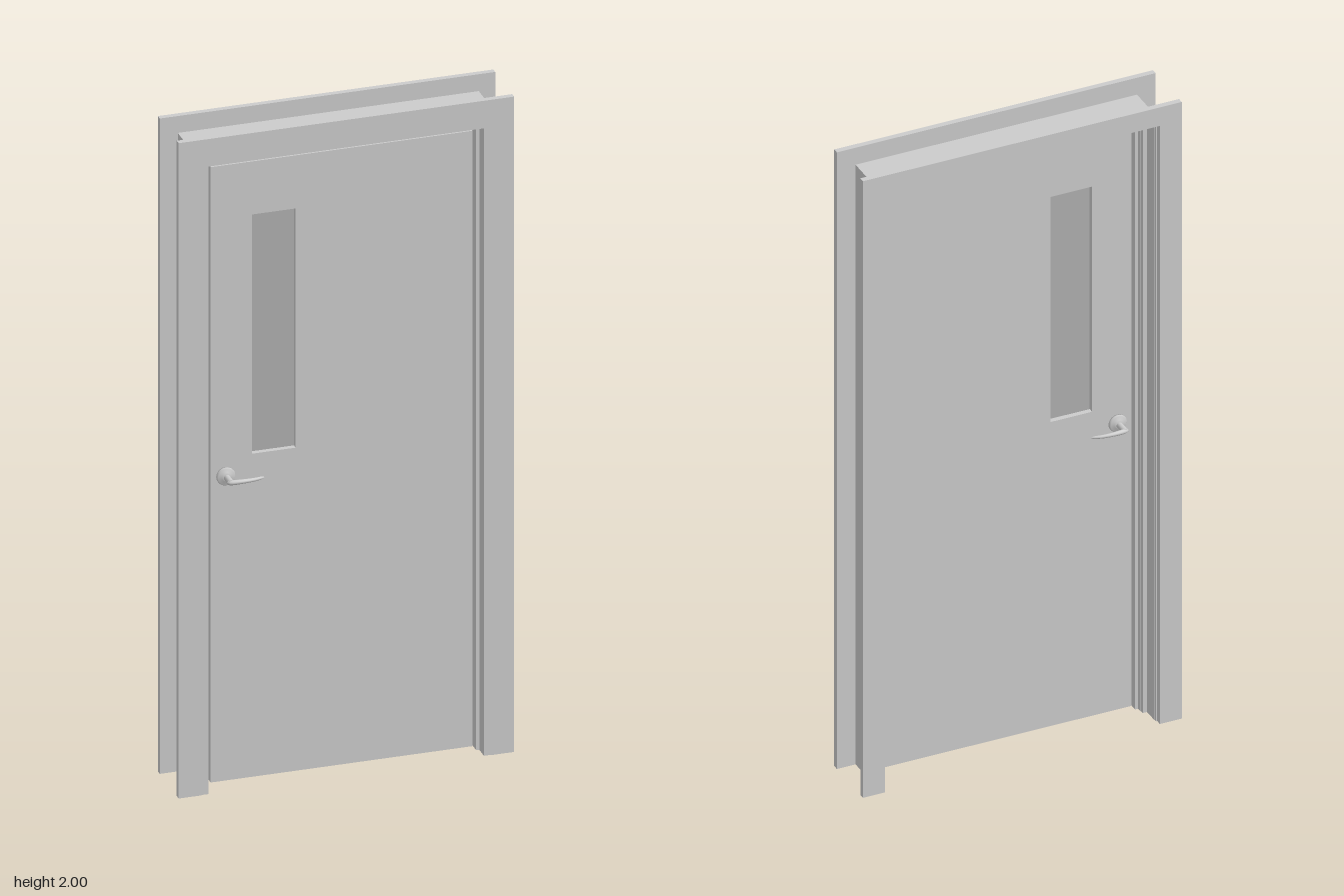
import * as THREE from 'three';

const grey = new THREE.MeshStandardMaterial({ color: 0xcccccc });
const glassGrey = new THREE.MeshStandardMaterial({ color: 0xb0b0b0 });

function add(parent, name, geometry, material = grey) {
  const mesh = new THREE.Mesh(geometry, material);
  mesh.name = name;
  parent.add(mesh);
  return mesh;
}

// Upside-down U around the doorway: two legs and a head, from z0 to z1
function surround(parent, name, outX, outY, inX, inY, z0, z1) {
  const shape = new THREE.Shape([
    [-outX, 0], [-inX, 0], [-inX, inY], [inX, inY],
    [inX, 0], [outX, 0], [outX, outY], [-outX, outY],
  ].map(([x, y]) => new THREE.Vector2(x, y)));
  const geometry = new THREE.ExtrudeGeometry(shape, { depth: z1 - z0, bevelEnabled: false });
  geometry.translate(0, 0, z0);
  return add(parent, name, geometry);
}

function rectPath(PathType, x0, y0, x1, y1) {
  return new PathType().moveTo(x0, y0).lineTo(x1, y0).lineTo(x1, y1).lineTo(x0, y1).closePath();
}

// Rose, neck and curved lever, projecting towards +z from the door face at z = 0
function makeHandle(name) {
  const handle = new THREE.Group();
  handle.name = name;
  const rose = new THREE.LatheGeometry([
    [0, 0], [0.027, 0], [0.027, 0.005], [0.024, 0.009], [0.013, 0.01], [0.012, 0.014], [0, 0.014],
  ].map(([r, y]) => new THREE.Vector2(r, y)), 28);
  rose.rotateX(Math.PI / 2);
  add(handle, 'rose', rose);

  const neck = new THREE.CylinderGeometry(0.009, 0.009, 0.044, 20);
  neck.rotateX(Math.PI / 2).translate(0, 0, 0.03);
  add(handle, 'neck', neck);

  // Lever: a tapering elliptical section swept along a shallow arc
  const curve = new THREE.CatmullRomCurve3([
    [-0.012, 0, 0.047], [0.005, 0.001, 0.051], [0.035, 0.002, 0.054],
    [0.07, 0.001, 0.05], [0.1, 0.0, 0.041],
  ].map((p) => new THREE.Vector3(...p)));
  const rings = 24, sides = 12;
  const lever = new THREE.TubeGeometry(curve, rings, 1, sides, false);
  const pos = lever.attributes.position;
  const v = new THREE.Vector3();
  for (let i = 0; i <= rings; i++) {
    const t = i / rings;
    const centre = curve.getPointAt(t);
    const round = Math.sqrt(Math.max(0, 1 - Math.pow(2 * t - 1, 8)));
    const size = (0.008 - 0.004 * t) * round;
    for (let j = 0; j <= sides; j++) {
      const k = i * (sides + 1) + j;
      v.fromBufferAttribute(pos, k).sub(centre).multiplyScalar(size).add(centre);
      pos.setXYZ(k, v.x, v.y, v.z);
    }
  }
  lever.computeVertexNormals();
  add(handle, 'lever', lever);
  return handle;
}

export function createModel() {
  const model = new THREE.Group();
  model.name = 'doorAssembly';

  // Stepped frame, listed from front to back
  const frame = new THREE.Group();
  frame.name = 'frame';
  model.add(frame);
  [
    ['frontCasing', 0.487, 2.0, 0.42, 1.94, 0.066, 0.083],
    ['frontReturn', 0.43, 1.945, 0.4, 1.915, 0.04, 0.081],
    ['jamb', 0.43, 1.945, 0.391, 1.906, -0.004, 0.04],
    ['rearStop', 0.43, 1.945, 0.4, 1.915, -0.02, -0.004],
    ['frontJoint', 0.42, 1.938, 0.402, 1.917, -0.03, -0.02],
    ['rearJamb', 0.437, 1.952, 0.415, 1.935, -0.078, -0.03],
    ['rearJoint', 0.425, 1.945, 0.416, 1.936, -0.085, -0.078],
    ['rearCasing', 0.487, 2.0, 0.42, 1.94, -0.102, -0.085],
  ].forEach((ring) => surround(frame, ...ring));

  // Door leaf with a tall narrow window
  const door = new THREE.Group();
  door.name = 'door';
  model.add(door);
  const back = -0.003, thick = 0.043;
  const win = [-0.26, 1.0, -0.133, 1.73];
  const leaf = rectPath(THREE.Shape, -0.38, 0.014, 0.38, 1.892);
  leaf.holes.push(rectPath(THREE.Path, ...win));
  const leafGeometry = new THREE.ExtrudeGeometry(leaf, { depth: thick, bevelEnabled: false });
  leafGeometry.translate(0, 0, back);
  add(door, 'doorLeaf', leafGeometry);

  const glass = add(door, 'windowPane',
    new THREE.BoxGeometry(win[2] - win[0], win[3] - win[1], 0.012), glassGrey);
  glass.position.set((win[0] + win[2]) / 2, (win[1] + win[3]) / 2, back + thick / 2);

  // Lever handles on both faces
  const front = makeHandle('frontHandle');
  front.position.set(-0.337, 0.944, back + thick);
  const rear = makeHandle('rearHandle');
  rear.position.set(-0.337, 0.944, back);
  rear.scale.z = -1;
  door.add(front, rear);

  return model;
}
